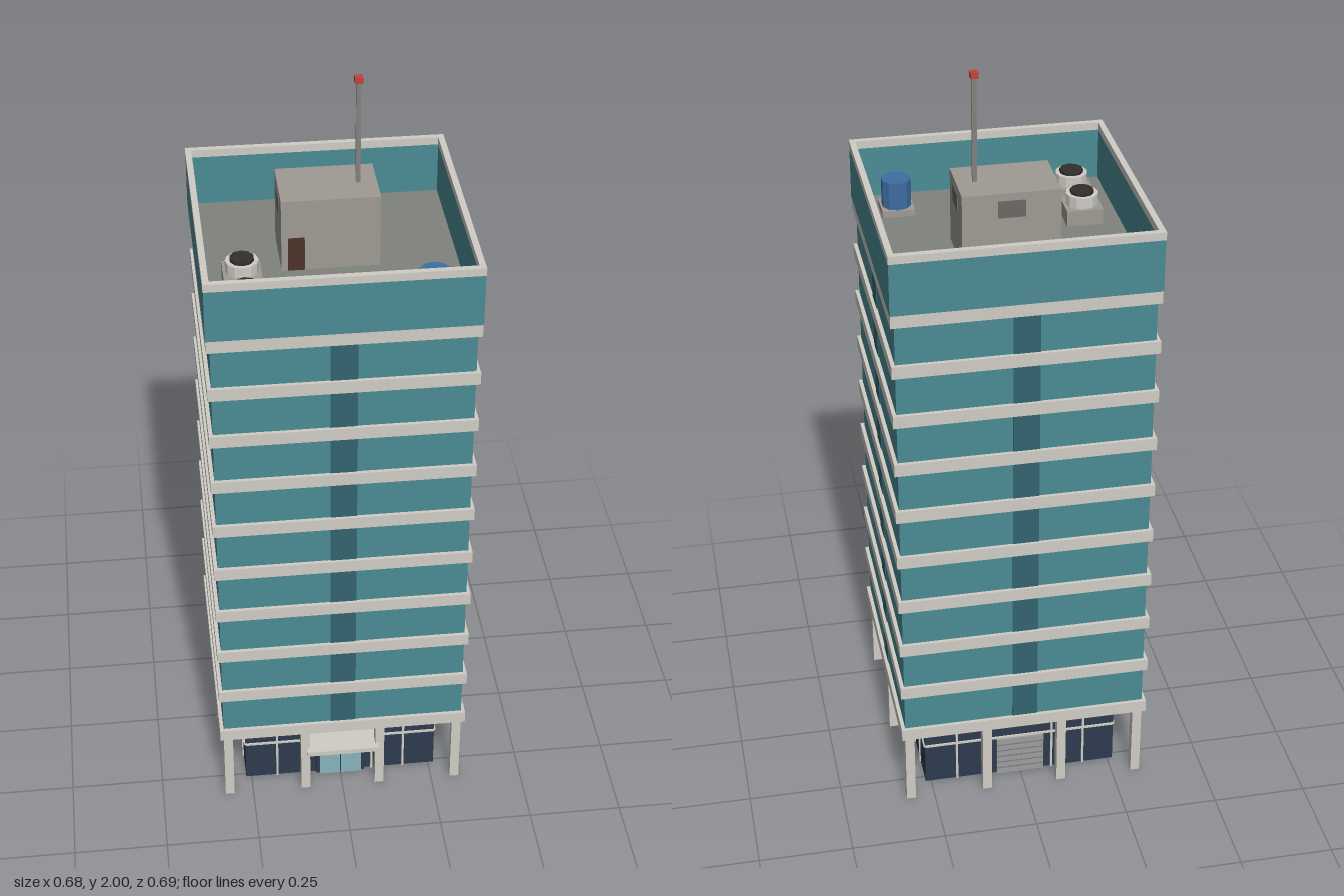
import * as THREE from 'three';

const COLORS = {
  glass: 0x4b8b94, strip: 0x33646f, concrete: 0xcfcdc5, lobby: 0x2d3a4d, deck: 0x80827e,
  house: 0x9f9b93, vent: 0x6c6964, brown: 0x4d342a, doorGlass: 0x86b4bd, shutter: 0x9b9d9f,
  slat: 0x7c7e80, fan: 0x322f2e, tank: 0x3f6fa3, pole: 0x8a8783, red: 0xc0443a,
};

export function createModel() {
  const model = new THREE.Group();
  model.name = 'officeTower';
  const mats = {};
  for (const [key, color] of Object.entries(COLORS)) {
    mats[key] = new THREE.MeshStandardMaterial({ color, flatShading: true });
  }

  function put(parent, name, geometry, mat, x, y, z) {
    const mesh = new THREE.Mesh(geometry, mats[mat]);
    mesh.name = name;
    mesh.position.set(x, y, z);
    parent.add(mesh);
    return mesh;
  }
  // y is the underside of the part
  const box = (parent, name, mat, w, h, d, x, y, z) =>
    put(parent, name, new THREE.BoxGeometry(w, h, d), mat, x, y + h / 2, z);
  const drum = (parent, name, mat, r, h, sides, x, y, z) =>
    put(parent, name, new THREE.CylinderGeometry(r, r, h, sides), mat, x, y + h / 2, z);

  // Square wall ring, open at top and bottom of its middle
  function ring(parent, name, mat, outer, inner, y, h) {
    const square = (s, T) => {
      const p = new T();
      p.moveTo(-s, -s);
      p.lineTo(s, -s);
      p.lineTo(s, s);
      p.lineTo(-s, s);
      p.closePath();
      return p;
    };
    const shape = square(outer, THREE.Shape);
    shape.holes.push(square(inner, THREE.Path));
    const geo = new THREE.ExtrudeGeometry(shape, { depth: h, bevelEnabled: false });
    geo.rotateX(-Math.PI / 2);
    put(parent, name, geo, mat, 0, y, 0);
  }

  // Main block, set slightly back to leave room for the canopy
  const tower = new THREE.Group();
  tower.name = 'tower';
  tower.position.z = -0.004;
  model.add(tower);

  const SLAB0 = 0.212, STEP = 0.1407, SLAB = 0.034, FLOORS = 9;

  // Slabs with a glazed storey and centre strips between them
  for (let i = 0; i <= FLOORS; i++) {
    const y = SLAB0 + i * STEP;
    box(tower, 'floorSlab', 'concrete', 0.674, SLAB, 0.674, 0, y, 0);
    if (i === FLOORS) continue;
    const h = STEP - SLAB;
    box(tower, 'storeyGlass', 'glass', 0.654, h, 0.654, 0, y + SLAB, 0);
    box(tower, 'centreStripFrontBack', 'strip', 0.068, h, 0.658, 0, y + SLAB, 0);
    box(tower, 'centreStripSides', 'strip', 0.658, h, 0.068, 0, y + SLAB, 0);
  }

  // Roof parapet, coping and deck
  const ROOF = SLAB0 + FLOORS * STEP + SLAB;
  ring(tower, 'parapet', 'glass', 0.338, 0.324, ROOF, 1.652 - ROOF);
  ring(tower, 'coping', 'concrete', 0.339, 0.323, 1.652, 0.021);
  box(tower, 'roofDeck', 'deck', 0.648, 0.003, 0.648, 0, ROOF, 0);

  // Recessed lobby, hollow behind its glazing
  const L = 0.265, T = 0.004;
  ring(tower, 'lobbyWalls', 'lobby', L, L - 0.01, 0, SLAB0);
  for (let side = 0; side < 4; side++) {
    const face = new THREE.Group();
    face.name = 'lobbyGlazing';
    face.rotation.y = side * Math.PI / 2;
    tower.add(face);
    const hasDoor = side % 2 === 0;
    for (let k = -2; k <= 2; k++) {
      if (k === 0 && hasDoor) continue;
      box(face, 'mullion', 'concrete', 0.006, SLAB0, T, k * 0.0885, 0, L + T / 2);
    }
    box(face, 'transom', 'concrete', 2 * L, 0.006, T, 0, 0.12, L + T / 2);
  }

  // Entrance: two glass leaves, frame and canopy
  box(tower, 'entranceFrame', 'lobby', 0.136, 0.115, 0.02, 0, 0, L - 0.002);
  for (const s of [-1, 1]) {
    box(tower, 'entranceDoor', 'doorGlass', 0.056, 0.108, 0.03, s * 0.0295, 0, L - 0.002);
  }
  box(tower, 'canopy', 'concrete', 0.2, 0.014, 0.1, 0, 0.135, 0.296);

  // Rear roller shutter
  box(tower, 'shutter', 'shutter', 0.13, 0.118, 0.014, 0, 0, -L);
  for (let i = 1; i < 6; i++) {
    box(tower, 'shutterSlat', 'slat', 0.13, 0.003, 0.018, 0, i * 0.0197, -L);
  }

  // Columns: corners, two front and back, one on each side
  const C = 0.315;
  for (const s of [-1, 1]) {
    for (const x of [-C, -0.103, 0.103, C]) {
      box(tower, 'column', 'concrete', 0.025, SLAB0, 0.025, x, 0, s * C);
    }
    box(tower, 'column', 'concrete', 0.025, SLAB0, 0.025, s * C, 0, 0);
  }

  // Rooftop plant room with door and vents
  const roof = new THREE.Group();
  roof.name = 'roofEquipment';
  model.add(roof);
  box(roof, 'plantRoom', 'house', 0.249, 1.711 - ROOF, 0.17, 0, ROOF, -0.052);
  box(roof, 'plantRoomDoor', 'brown', 0.042, 0.095, 0.004, -0.087, ROOF, 0.0335);
  box(roof, 'sideVents', 'vent', 0.253, 0.045, 0.068, 0, 1.646, -0.047);
  box(roof, 'rearVent', 'vent', 0.07, 0.045, 0.004, 0, 1.646, -0.1375);

  // Antenna mast and beacon
  drum(roof, 'antennaMast', 'pole', 0.007, 0.275, 6, 0.077, 1.711, -0.051);
  box(roof, 'beacon', 'red', 0.02, 0.016, 0.02, 0.077, 1.984, -0.051);

  // Cooling units
  for (const z of [0.0885, 0.2145]) {
    box(roof, 'coolerBase', 'house', 0.096, 0.045, 0.096, -0.228, ROOF, z);
    drum(roof, 'coolerHousing', 'concrete', 0.042, 0.03, 12, -0.228, ROOF + 0.045, z);
    drum(roof, 'coolerFan', 'fan', 0.031, 0.008, 10, -0.228, ROOF + 0.075, z);
  }

  // Water tank
  box(roof, 'tankBase', 'house', 0.085, 0.02, 0.085, 0.234, ROOF, 0.222);
  drum(roof, 'waterTank', 'tank', 0.039, 0.075, 10, 0.234, ROOF + 0.02, 0.222);

  return model;
}
